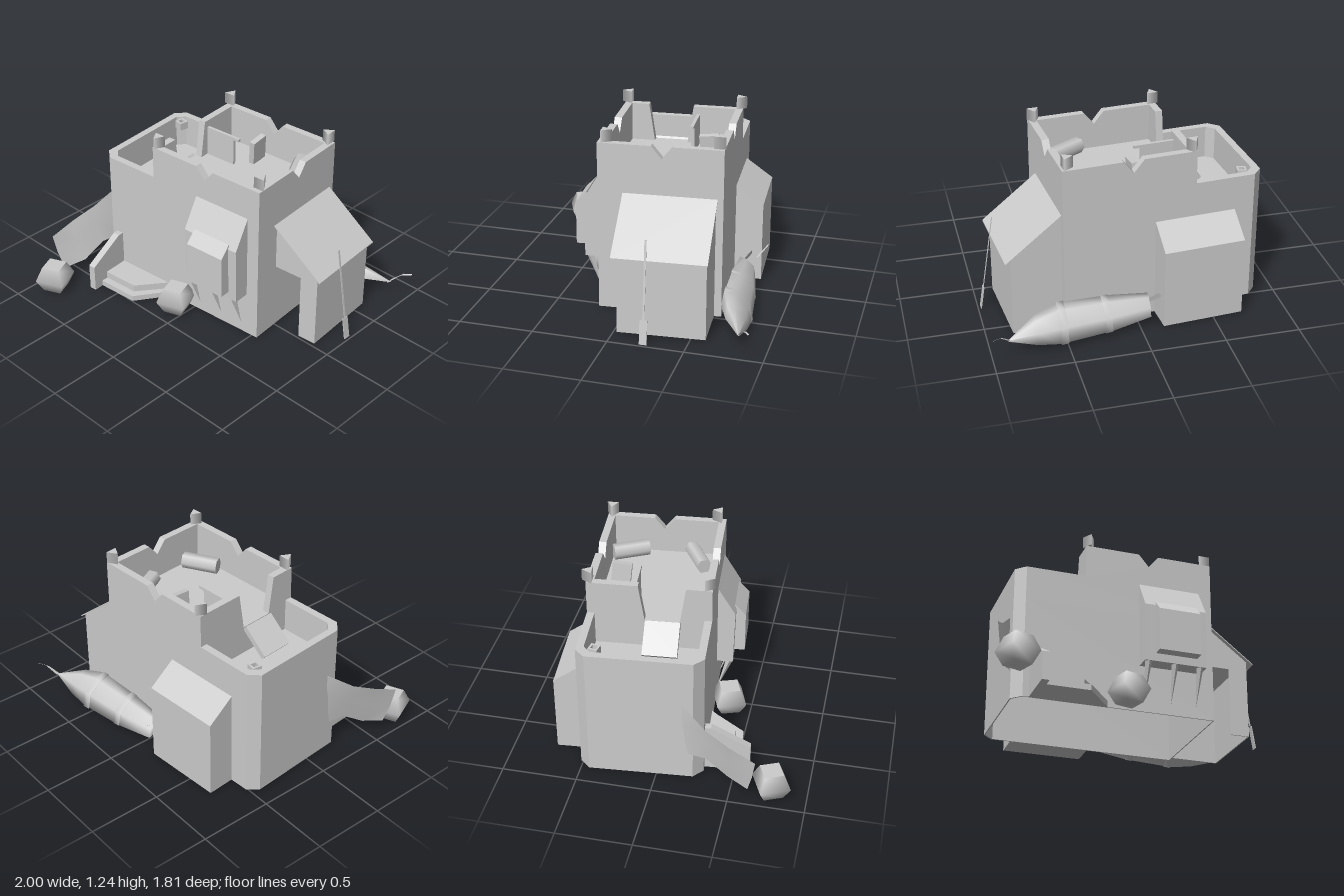
import * as THREE from 'three';

const grey = new THREE.MeshStandardMaterial({ color: 0xcccccc, side: THREE.DoubleSide });
const flat = new THREE.MeshStandardMaterial({ color: 0xcccccc, side: THREE.DoubleSide, flatShading: true });

function add(parent, name, geometry, material = grey) {
  const mesh = new THREE.Mesh(geometry, material);
  mesh.name = name;
  parent.add(mesh);
  return mesh;
}
const points = pts => pts.map(p => new THREE.Vector2(...p));
const outline = pts => new THREE.Shape(points(pts));
const extrude = (shape, depth) => new THREE.ExtrudeGeometry(shape, { depth, bevelEnabled: false });

// Profile in (x, y), running from z0 to z1
const alongZ = (pts, z0, z1) => extrude(outline(pts), z1 - z0).translate(0, 0, z0);
// Profile in (z, y), running from x0 to x1
const alongX = (pts, x0, x1) => extrude(outline(pts), x1 - x0).rotateY(-Math.PI / 2).translate(x1, 0, 0);
// Plan in (x, z), running from y0 to y1
const alongY = (shape, y0, y1) => extrude(shape, y1 - y0).rotateX(Math.PI / 2).translate(0, y1, 0);

function box(parent, name, size, pos, rot = [0, 0, 0]) {
  const mesh = add(parent, name, new THREE.BoxGeometry(...size));
  mesh.position.set(...pos);
  mesh.rotation.set(...rot);
  return mesh;
}

// Aims a shape built on +y from point a to point b
function aim(mesh, a, b) {
  const dir = new THREE.Vector3(...b).sub(new THREE.Vector3(...a)).normalize();
  mesh.position.set(...a);
  mesh.quaternion.setFromUnitVectors(new THREE.Vector3(0, 1, 0), dir);
}

// Thin sheet from rows of points, each row having the same length
function sheet(rows) {
  const n = rows[0].length, index = [];
  for (let i = 0; i < rows.length - 1; i++)
    for (let j = 0; j < n - 1; j++) {
      const a = i * n + j, b = a + n;
      index.push(a, b, a + 1, b, b + 1, a + 1);
    }
  const g = new THREE.BufferGeometry();
  g.setAttribute('position', new THREE.Float32BufferAttribute(rows.flat(2), 3));
  g.setIndex(index);
  g.computeVertexNormals();
  return g;
}

const X0 = -0.837, X1 = 0.53, Z0 = -0.578, Z1 = 0.24, TX = -0.365;
const T = 0.05, FLOOR = 0.7, TOWER_FLOOR = 0.9, RIM = 0.93, TOP = 1.16;

// Plan of the keep with its two cut corners, shrunk by t
function plan(t, c) {
  const a = X0 + t, b = X1 - t, d = Z0 + t, e = Z1 - t;
  return [[a, d + c], [a + c, d], [b, d], [b, e], [a + c, e], [a, e - c]];
}
function ring(t, y0, y1) {
  const shape = outline(plan(0, 0.065));
  shape.holes.push(new THREE.Path(points(plan(t, 0.065 - t * 0.3))));
  return alongY(shape, y0, y1);
}

// Wall profile with a V-shaped break in its top
const notched = (a, b, n) => [[a, RIM], [b, RIM], [b, TOP], [n + 0.07, TOP], [n, 1.075], [n - 0.07, TOP], [a, TOP]];

function addKeep(g) {
  // Hollow below, with a low yard floor and a raised tower floor
  add(g, 'keepShell', ring(0.008, 0.01, FLOOR));
  add(g, 'keepRim', ring(T, FLOOR, RIM));
  add(g, 'yardFloor', alongY(outline(plan(0.01, 0.065)), FLOOR - 0.01, FLOOR));
  box(g, 'towerFloor', [X1 - TX - T, TOWER_FLOOR - FLOOR, Z1 - Z0 - 2 * T],
    [(X1 + TX - T) / 2, (TOWER_FLOOR + FLOOR) / 2, (Z0 + Z1) / 2]);

  add(g, 'towerFrontWall', alongZ(notched(TX, X1, 0.08), Z1 - T, Z1));
  add(g, 'towerBackWall', alongZ(notched(TX, X1, 0.06), Z0, Z0 + T));
  add(g, 'towerSideWall', alongX(notched(Z0 + T, Z1 - T, -0.18), X1 - T, X1));
  add(g, 'brokenWallBack', alongX([[Z0 + T, TOWER_FLOOR], [-0.2, TOWER_FLOOR], [-0.24, TOP], [Z0 + T, TOP]], TX, TX + T));
  add(g, 'brokenWallFront', alongX([[0.03, TOWER_FLOOR], [Z1 - T, TOWER_FLOOR], [Z1 - T, TOP], [0.07, TOP]], TX, TX + T));

  // Three-sided caps on the tower corners
  for (const [x, z, turn] of [[0.501, 0.19, Math.PI], [-0.338, 0.214, 0], [-0.341, -0.56, Math.PI], [0.495, -0.547, -Math.PI / 2]]) {
    const cap = add(g, 'cornerCap', new THREE.CylinderGeometry(0.045, 0.045, 0.08, 3));
    cap.position.set(x, TOP + 0.045, z);
    cap.rotation.y = turn;
  }
}

function addRubble(g) {
  box(g, 'fallenSlab', [0.23, 0.04, 0.23], [-0.455, 0.82, -0.08], [0, 0, 0.72]);
  box(g, 'standingPanel', [0.23, 0.2, 0.022], [-0.2, 1.0, -0.275]);
  box(g, 'looseRod', [0.28, 0.02, 0.022], [-0.18, 1.1, -0.275]);
  box(g, 'looseStone', [0.04, 0.18, 0.13], [0.01, 0.99, -0.41], [0.1, 0, -0.1]);
  for (const [x, z, turn] of [[0.36, -0.4, -1.17], [0.32, 0.07, 0.45]]) {
    const drum = add(g, 'fallenDrum', new THREE.CylinderGeometry(0.055, 0.055, 0.25, 6).rotateZ(Math.PI / 2));
    drum.position.set(x, TOWER_FLOOR + 0.07, z);
    drum.rotation.y = turn;
  }
  const pot = add(g, 'smallPot', new THREE.LatheGeometry(
    points([[0.025, 0.87], [0.045, 0.87], [0.045, 0.925], [0.025, 0.925], [0.025, 0.87]]), 4), flat);
  pot.position.set(-0.725, 0, -0.465);
  pot.rotation.y = 0.55;
}

function addSheds(g) {
  // Thin-walled side shed with a doorway beside the keep
  const a = X1 - 0.005, b = 0.868, hi = 0.835, lo = 0.562, t = 0.008;
  add(g, 'shedFront', alongZ([[0.735, 0.01], [b, 0.01], [b, lo], [a, hi - 0.01], [a, 0.49], [0.735, 0.49]], 0.045 - t, 0.045));
  add(g, 'shedBack', alongZ([[a, 0.01], [b, 0.01], [b, lo], [a, hi - 0.01]], -0.53, -0.53 + t));
  add(g, 'shedSide', alongX([[-0.53, 0.01], [0.045, 0.01], [0.045, lo], [-0.53, lo]], b - t, b));
  add(g, 'shedRoof', alongZ([[a, hi - 0.008], [0.905, 0.533], [0.905, 0.541], [a, hi]], -0.54, 0.075));
  // Rear annex with a sloping top
  add(g, 'rearAnnex', alongX([[-0.765, 0.01], [-0.57, 0.01], [-0.57, 0.7], [-0.765, 0.56]], -0.64, -0.09));
}

function addOriel(g) {
  add(g, 'orielBody', alongX([[0.23, 0.33], [0.35, 0.33], [0.36, 0.73], [0.24, 0.93]], 0.01, 0.44));
  add(g, 'orielBay', alongX([[0.34, 0.385], [0.425, 0.385], [0.425, 0.68], [0.35, 0.76]], 0.085, 0.375));
  for (const x of [0.04, 0.225, 0.4]) {
    const spike = add(g, 'orielBracket', new THREE.ConeGeometry(0.025, 0.28, 4).translate(0, 0.14, 0), flat);
    aim(spike, [x, 0.34, 0.33], [x, 0.07, 0.24]);
  }
}

function addStoop(g) {
  add(g, 'stoopWall', alongX([[0.23, 0.01], [0.54, 0.01], [0.54, 0.2], [0.28, 0.34], [0.23, 0.34]], -0.73, -0.68));
  const step = (s, y0, y1) => add(g, 'stoopStep', alongY(outline(
    [[-0.69, 0.23], [-0.69, 0.47 - s], [-0.39 - s * 0.6, 0.47 - s], [-0.2 - s, 0.23]]), y0, y1));
  step(0, 0.01, 0.05);
  step(0.05, 0.05, 0.1);
}

// Square bulging barrels
function addBarrels(g) {
  const profile = points([[0, 0.01], [0.09, 0.01], [0.143, 0.1], [0.09, 0.2], [0.09, 0.2], [0, 0.2]]);
  for (const [x, z, turn] of [[-0.865, 0.765, -0.37], [-0.07, 0.35, -0.45]]) {
    const barrel = add(g, 'barrel', new THREE.LatheGeometry(profile, 4));
    barrel.position.set(x, 0, z);
    barrel.rotation.y = turn;
  }
}

// Banded hull lying on its side behind the keep
function addHull(g) {
  const section = [[0.1, -0.02], [0.08, 0.1], [0.01, 0.08], [-0.08, 0.0], [-0.1, -0.1], [0, -0.07], [0.1, -0.02]];
  const station = (x, y, z, s) => section.map(([dz, dy]) => [x, y + dy * s, z + dz * s]);
  add(g, 'hullShell', sheet([station(-0.07, 0.14, -0.67, 0.01), station(-0.07, 0.14, -0.67, 0.6),
    station(0.2, 0.14, -0.7, 0.88), station(0.55, 0.14, -0.735, 1), station(0.7, 0.13, -0.765, 0.72),
    station(0.89, 0.11, -0.82, 0.04)]));
  for (const [x, z, s] of [[0.2, -0.7, 0.91], [0.5, -0.73, 1.03]])
    add(g, 'hullBand', sheet([station(x, 0.14, z, s - 0.06), station(x, 0.14, z, s),
      station(x + 0.05, 0.14, z - 0.006, s + 0.02), station(x + 0.05, 0.14, z - 0.006, s - 0.06)]));
  // Thin pennant at the tip and torn strips at the tail
  add(g, 'hullPennant', sheet([[[0.87, 0.1, -0.8], [0.88, 0.12, -0.84]], [[0.94, 0.17, -0.86], [0.95, 0.18, -0.88]],
    [[1, 0.18, -0.9], [1, 0.185, -0.91]]]));
  add(g, 'hullTail', sheet([[[-0.16, 0.28, -0.8], [-0.14, 0.27, -0.8]], [[-0.1, 0.2, -0.73], [-0.08, 0.2, -0.74]]]));
  add(g, 'hullTail', sheet([[[-0.15, 0.2, -0.69], [-0.13, 0.23, -0.69]], [[-0.08, 0.12, -0.62], [-0.07, 0.16, -0.63]]]));
}

export function createModel() {
  const model = new THREE.Group();
  model.name = 'ruinedKeep';

  const keep = new THREE.Group();
  keep.name = 'keep';
  keep.rotation.y = 0.08;
  [addKeep, addRubble, addSheds, addOriel, addStoop].forEach(build => build(keep));
  model.add(keep);

  addBarrels(model);
  addHull(model);

  // Cloth awning sagging off the side wall
  add(model, 'awning', sheet([
    [[-0.82, 0.62, 0.15], [-0.83, 0.42, 0.18], [-0.82, 0.2, 0.2]],
    [[-0.9, 0.48, 0.34], [-0.87, 0.36, 0.36], [-0.84, 0.2, 0.33]],
    [[-0.95, 0.41, 0.5], [-0.92, 0.26, 0.5], [-0.87, 0.1, 0.48]],
    [[-0.98, 0.34, 0.67], [-0.96, 0.2, 0.65], [-0.93, 0.07, 0.62]],
  ]));

  // Pole leaning on the side shed, with a broad foot
  const pole = new THREE.Group();
  pole.name = 'leaningPole';
  box(pole, 'poleShaft', [0.004, 0.68, 0.014], [0, 0.34, 0]);
  box(pole, 'poleBlade', [0.006, 0.16, 0.05], [0, 0.08, 0]);
  aim(pole, [0.98, 0.005, -0.23], [0.875, 0.68, -0.22]);
  model.add(pole);
  return model;
}
